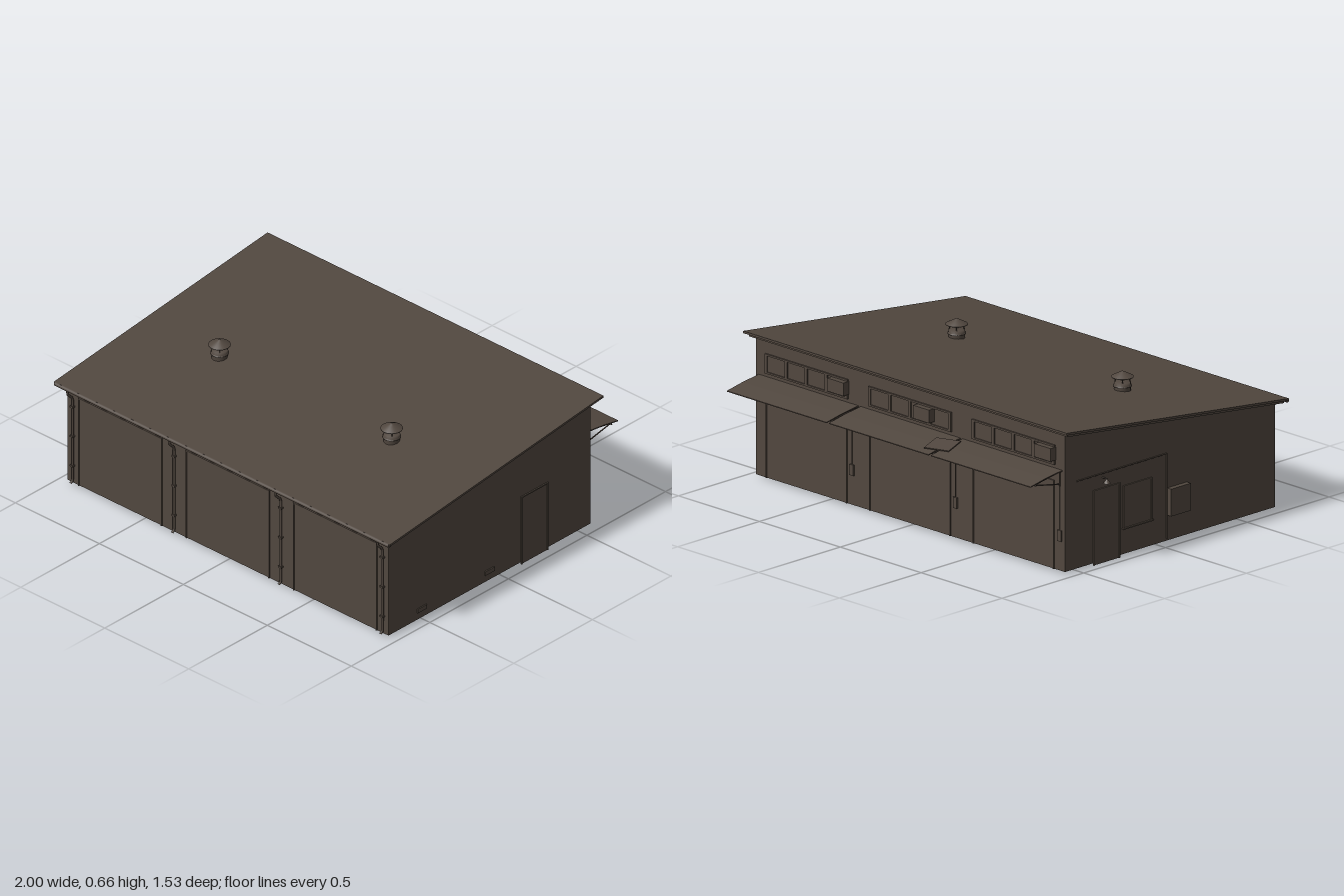
import * as THREE from 'three';

export function createModel() {
  const root = new THREE.Group();
  root.name = 'garage';
  const mat = new THREE.MeshStandardMaterial({ color: 0x51473f });
  mat.name = 'weathered brown';

  const add = (name, geo, parent = root) => {
    const m = new THREE.Mesh(geo, mat);
    m.name = name;
    parent.add(m);
    return m;
  };
  const box = (name, x0, x1, y0, y1, z0, z1, parent = root) => {
    const m = add(name, new THREE.BoxGeometry(x1 - x0, y1 - y0, z1 - z0), parent);
    m.position.set((x0 + x1) / 2, (y0 + y1) / 2, (z0 + z1) / 2);
    return m;
  };
  // side profile of [z, y] points, extruded along x
  const slab = (name, pts, x0, x1, parent = root) => {
    const shape = new THREE.Shape(pts.map(p => new THREE.Vector2(p[0], p[1])));
    const geo = new THREE.ExtrudeGeometry(shape, { depth: x1 - x0, bevelEnabled: false });
    geo.rotateY(-Math.PI / 2).translate(x1, 0, 0);
    return add(name, geo, parent);
  };
  const rod = (name, a, b, r, parent = root) => {
    const A = new THREE.Vector3(...a), B = new THREE.Vector3(...b);
    const m = add(name, new THREE.CylinderGeometry(r, r, A.distanceTo(B), 8), parent);
    m.position.copy(A).add(B).multiplyScalar(0.5);
    m.quaternion.setFromUnitVectors(new THREE.Vector3(0, 1, 0), B.sub(A).normalize());
    return m;
  };
  const group = name => {
    const g = new THREE.Group();
    g.name = name;
    root.add(g);
    return g;
  };

  const F = 0.715, B = -0.57, W = 0.955;
  const roofY = z => 0.508 + (0.755 - z) * 0.1144;

  // walls and pitched roof
  slab('walls', [[F, 0.01], [F, roofY(F) - 0.018], [B, roofY(B) - 0.018], [B, 0.01]], -W, W);
  const layer = (name, z0, z1, top, bottom, x) =>
    slab(name, [[z0, roofY(z0) - top], [z1, roofY(z1) - top], [z1, roofY(z1) - bottom], [z0, roofY(z0) - bottom]], -x, x);
  layer('roofSheet', 0.755, -0.605, 0, 0.01, 1);
  layer('roofDeck', 0.74, -0.585, 0.01, 0.023, 0.985);

  // gutter and downpipes on the front
  const gutter = add('gutter', new THREE.CylinderGeometry(0.01, 0.01, 1.99, 10));
  gutter.rotation.z = Math.PI / 2;
  gutter.position.set(0, 0.499, 0.751);
  for (const x of [-0.92, -0.315, 0.32, 0.925]) {
    const g = group('downpipe');
    const path = new THREE.CatmullRomCurve3([[0.753, 0.5], [0.753, 0.475], [0.724, 0.445], [0.722, 0.42], [0.722, 0.03], [0.735, 0.015]]
      .map(([z, y]) => new THREE.Vector3(x, y, z)), false, 'catmullrom', 0.1);
    add('pipe', new THREE.TubeGeometry(path, 40, 0.006, 8), g);
    for (const y of [0.1, 0.25, 0.4]) box('pipeClamp', x - 0.009, x + 0.009, y - 0.004, y + 0.004, F, F + 0.015, g);
  }

  // framed door plate on a front (dir 1) or back (dir -1) wall
  const bigDoor = (name, x0, x1, top, dir) => {
    const g = group(name), z = dir > 0 ? F : B;
    const put = (n, a, b, c, d, t) => box(n, a, b, c, d, Math.min(z, z + dir * t), Math.max(z, z + dir * t), g);
    put('doorPanel', x0, x1, 0.012, top, 0.002);
    put('jamb', x0 - 0.006, x0, 0.01, top, 0.006);
    put('jamb', x1, x1 + 0.006, 0.01, top, 0.006);
    put('lintel', x0 - 0.006, x1 + 0.006, top, top + 0.006, 0.006);
  };
  for (const x of [-0.64, 0, 0.64]) {
    bigDoor('frontDoor', x - 0.243, x + 0.243, 0.45, 1);
    bigDoor('backDoor', x - 0.245, x + 0.245, 0.41, -1);

    // strip of four panes high on the back wall
    const g = group('backWindow');
    const frame = new THREE.Shape([[-0.255, -0.045], [0.255, -0.045], [0.255, 0.045], [-0.255, 0.045]].map(p => new THREE.Vector2(...p)));
    for (let i = 0; i < 4; i++) {
      const c = -0.186 + i * 0.124;
      frame.holes.push(new THREE.Path([[-0.055, -0.037], [-0.055, 0.037], [0.055, 0.037], [0.055, -0.037]]
        .map(([u, v]) => new THREE.Vector2(c + u, v))));
    }
    const f = add('windowFrame', new THREE.ExtrudeGeometry(frame, { depth: 0.008, bevelEnabled: false }), g);
    f.position.set(x, 0.533, B - 0.008);
    box('windowPanes', x - 0.25, x + 0.25, 0.492, 0.574, B - 0.002, B, g);

    // canopy sheet
    slab('canopy', [[B, 0.472], [-0.67, 0.459], [-0.765, 0.441], [-0.765, 0.437], [-0.67, 0.455], [B, 0.466]], x * 0.985 - 0.308, x * 0.985 + 0.308);
  }

  // cooling units and switch boxes on the back wall
  for (const x of [0.43, -0.1, -0.85]) box('coolingUnit', x - 0.05, x + 0.05, 0.51, 0.57, -0.605, B);
  for (const x of [0.36, -0.28, -0.925]) {
    box('switchBox', x - 0.012, x + 0.012, 0.145, 0.195, B - 0.007, B);
    rod('switchConduit', [x, 0.195, B - 0.003], [x, 0.42, B - 0.003], 0.002);
  }

  // canopy brackets and rail
  for (const x of [-0.925, -0.33, -0.3, 0.3, 0.33, 0.925]) {
    const g = group('canopyBracket');
    rod('strut', [x, 0.405, B], [x, 0.435, -0.725], 0.003, g);
    rod('arm', [x, 0.464, B], [x, 0.437, -0.73], 0.003, g);
    rod('post', [x, 0.395, B - 0.003], [x, 0.468, B - 0.003], 0.003, g);
  }
  rod('canopyRail', [-0.935, 0.436, -0.727], [0.935, 0.436, -0.727], 0.004);

  // loose patch lying over the canopy seam
  const patch = add('loosePatch', new THREE.BoxGeometry(0.125, 0.005, 0.105));
  patch.position.set(-0.302, 0.464, -0.673);
  patch.rotation.set(-0.16, 0.25, 0);

  // roof vents
  for (const x of [-0.545, 0.48]) {
    const g = group('roofVent');
    g.position.set(x, 0, 0.187);
    const lathe = (n, pts) => add(n, new THREE.LatheGeometry(pts.map(p => new THREE.Vector2(...p)), 24), g);
    lathe('ventBase', [[0.036, 0.555], [0.036, 0.59], [0.041, 0.591], [0.041, 0.596], [0.036, 0.597], [0.036, 0.612], [0, 0.612]]);
    lathe('ventCap', [[0, 0.633], [0.049, 0.633], [0.049, 0.636], [0.02, 0.651], [0, 0.661]]);
    for (let i = 0; i < 4; i++) {
      const a = Math.PI * (i / 2 + 0.25), c = Math.cos(a) * 0.032, s = Math.sin(a) * 0.032;
      rod('ventRod', [c, 0.61, s], [c, 0.636, s], 0.002, g);
    }
  }

  // right-hand (+x of the frame) wall: door and low air bricks
  const sideDoor = (s, z0, z1, y0, y1, name) => {
    const g = group(name);
    const put = (n, a, b, c, d, t) => box(n, Math.min(s * W, s * (W + t)), Math.max(s * W, s * (W + t)), c, d, a, b, g);
    put('panel', z0, z1, y0, y1, 0.002);
    put('trim', z0 - 0.004, z0 + 0.002, y0, y1, 0.006);
    put('trim', z1 - 0.002, z1 + 0.004, y0, y1, 0.006);
    put('trim', z0 - 0.004, z1 + 0.004, y1 - 0.003, y1 + 0.003, 0.006);
    if (y0 > 0.05) put('sill', z0 - 0.01, z1 + 0.01, y0 - 0.006, y0, 0.01);
  };
  sideDoor(1, -0.293, -0.13, 0, 0.34, 'leftSideDoor');
  for (const z of [0.505, 0.075]) box('airBrick', W, W + 0.006, 0.045, 0.065, z - 0.03, z + 0.03);

  // opposite wall: door, window, meter cabinet, lamp and conduit
  sideDoor(-1, -0.395, -0.24, 0, 0.34, 'rightSideDoor');
  sideDoor(-1, -0.21, -0.045, 0.13, 0.32, 'rightSideWindow');
  box('meterCabinet', -0.98, -W, 0.125, 0.25, 0.055, 0.175);
  rod('conduit', [-W - 0.003, 0.02, 0.05], [-W - 0.003, 0.41, 0.05], 0.003);
  rod('conduit', [-W - 0.003, 0.41, -0.5], [-W - 0.003, 0.41, 0.05], 0.003);
  const lamp = group('wallLamp');
  rod('lampArm', [-W, 0.39, -0.34], [-0.982, 0.39, -0.34], 0.003, lamp);
  const shade = add('lampShade', new THREE.ConeGeometry(0.017, 0.022, 16), lamp);
  shade.position.set(-0.982, 0.381, -0.34);

  return root;
}
